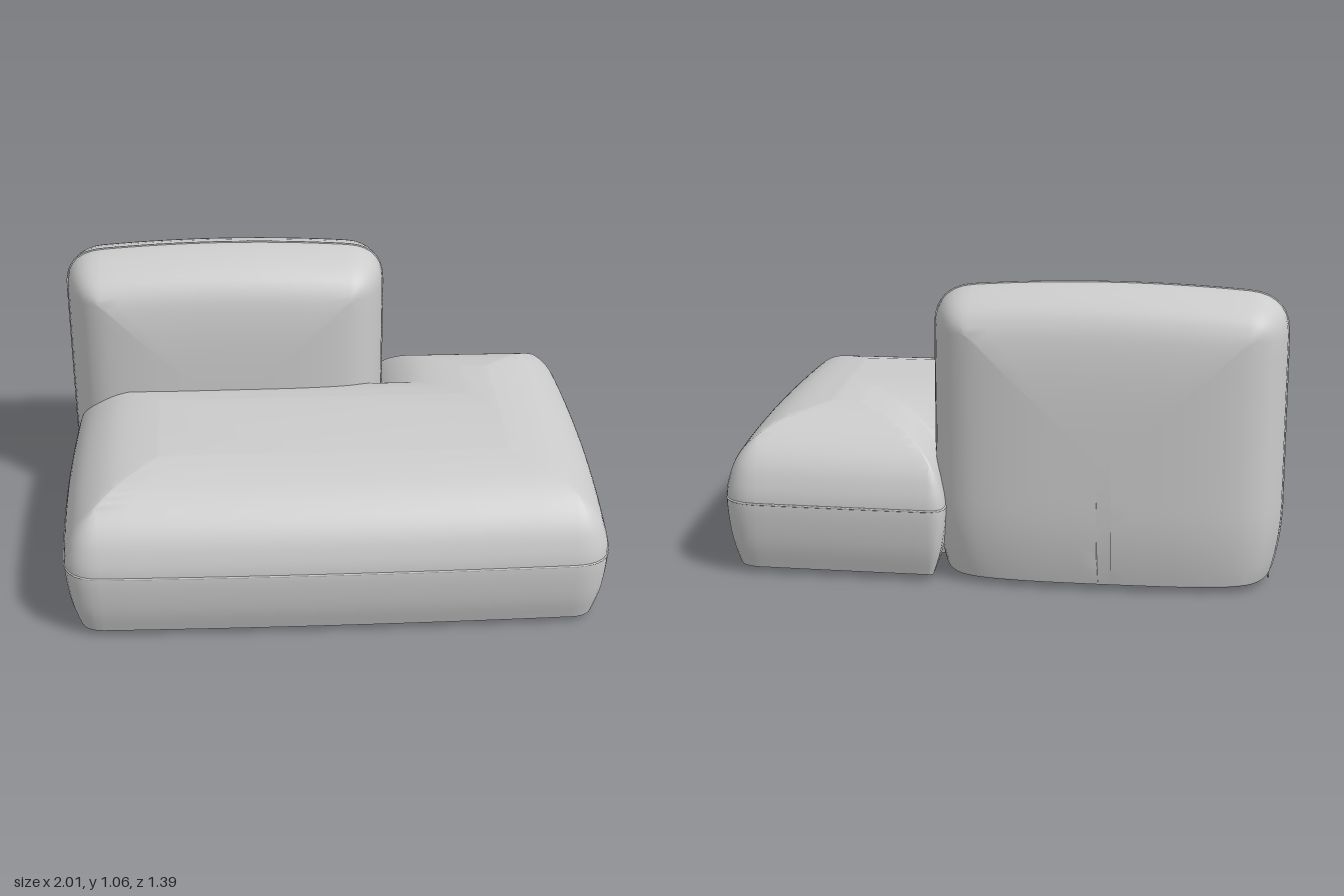
import * as THREE from 'three';
import { toCreasedNormals } from 'three/addons/utils/BufferGeometryUtils.js';

const material = new THREE.MeshStandardMaterial({ color: 0xcccccc });

// Outline with rounded corners, moved inward by d. Corner: [u, v, inwardU, inwardV, radius]
function outline(corners, d) {
  const n = corners.length;
  const p = corners.map(([u, v, su, sv]) => new THREE.Vector2(u + su * d, v + sv * d));
  const arcs = corners.map((c, i) => {
    const r = Math.max(0.008, c[4] - d);
    const toward = (q) => q.clone().sub(p[i]).setLength(r).add(p[i]);
    return new THREE.QuadraticBezierCurve(toward(p[(i + n - 1) % n]), p[i], toward(p[(i + 1) % n])).getPoints(7);
  });
  const out = [];
  arcs.forEach((arc, i) => {
    out.push(...arc);
    const a = arc[arc.length - 1], b = arcs[(i + 1) % n][0];
    for (let k = 1; k < 14; k++) out.push(a.clone().lerp(b, k / 14));
  });
  return out;
}

// Upholstered body: outlines stacked along w, inset by the profile, then softened by a rule
function cushion(corners, profile, soften) {
  const steps = new THREE.SplineCurve(profile.map(([d, w]) => new THREE.Vector2(d, w))).getPoints(36);
  const rings = steps.map((s) => outline(corners, Math.max(0, s.x)));
  const n = rings[0].length, positions = [], index = [];
  rings.forEach((ring, j) => ring.forEach((q) => {
    positions.push(...soften(new THREE.Vector3(q.x, q.y, steps[j].y)).toArray());
  }));
  for (let j = 0; j < rings.length - 1; j++) {
    for (let i = 0; i < n; i++) {
      const a = j * n + i, b = j * n + (i + 1) % n;
      index.push(a, b, b + n, a, b + n, a + n);
    }
  }
  const last = (rings.length - 1) * n;
  for (const [a, b, c] of THREE.ShapeUtils.triangulateShape(rings[0], [])) index.push(a, c, b);
  for (const [a, b, c] of THREE.ShapeUtils.triangulateShape(rings[rings.length - 1], [])) {
    index.push(last + a, last + b, last + c);
  }
  const geometry = new THREE.BufferGeometry();
  geometry.setAttribute('position', new THREE.Float32BufferAttribute(positions, 3));
  geometry.setIndex(index);
  return toCreasedNormals(geometry, 0.7);
}

// Thin piping along the widest line
function piping(corners, w, soften) {
  const points = outline(corners, 0).map((q) => soften(new THREE.Vector3(q.x, q.y, w)));
  return new THREE.TubeGeometry(new THREE.CatmullRomCurve3(points, true), 220, 0.004, 6, true);
}

function part(name, corners, profile, seamW, soften) {
  const group = new THREE.Group();
  group.name = name;
  const body = new THREE.Mesh(cushion(corners, profile, soften), material);
  body.name = name + 'Cushion';
  const seam = new THREE.Mesh(piping(corners, seamW, soften), material);
  seam.name = name + 'Piping';
  group.add(body, seam);
  return group;
}

export function createModel() {
  const model = new THREE.Group();
  model.name = 'sofaModule';

  // Seat: L-shaped plan, with a recess at the back for the backrest
  const seat = part('seat',
    [
      [-1, -0.69, 1, 1, 0.13], [1, -0.69, -1, 1, 0.13], [1, 0.685, -1, -1, 0.13],
      [0.18, 0.685, 1, -1, 0.06], [0.18, 0.45, 1, -1, 0.05], [-1, 0.45, 1, -1, 0.13],
    ],
    [[0.045, 0.025], [0.014, 0.13], [0, 0.27], [0.018, 0.36], [0.05, 0.425], [0.1, 0.478],
      [0.17, 0.523], [0.25, 0.549], [0.36, 0.568]],
    0.275,
    (p) => p.set(p.x * (1 - 0.03 * (p.y / 0.69) ** 2), p.y * (1 - 0.02 * p.x ** 2), p.z));
  seat.rotation.x = -Math.PI / 2;

  // Backrest: upright slab standing on the floor, narrowing slightly to its flat base
  const backrest = part('backrest',
    [
      [-0.615, 0.025, 1, 0, 0.02], [0.615, 0.025, -1, 0, 0.02],
      [0.615, 1.06, -1, -1, 0.14], [-0.615, 1.06, 1, -1, 0.14],
    ],
    [[0.59, -0.235], [0.4, -0.233], [0.27, -0.226], [0.17, -0.212], [0.11, -0.193], [0.06, -0.16],
      [0.02, -0.09], [0, 0], [0.02, 0.1], [0.06, 0.175], [0.11, 0.215], [0.17, 0.236],
      [0.27, 0.25], [0.4, 0.256], [0.59, 0.257]],
    0,
    (p) => {
      const foot = Math.max(0, (0.3 - p.y) / 0.275) ** 2;
      const y = 0.025 + (p.y - 0.025) * (1 - 0.03 * (p.x / 0.615) ** 2);
      return p.set(p.x * (1 - 0.06 * foot), y, p.z * (1 - 0.14 * foot));
    });
  backrest.position.set(-0.385, 0, -0.46);

  // Small pull loop at the lower end of the backrest seam
  const pull = new THREE.Mesh(new THREE.TorusGeometry(0.01, 0.003, 6, 16), material);
  pull.name = 'pullLoop';
  pull.rotation.y = Math.PI / 2;
  pull.position.set(-0.96, 0.013, -0.46);

  model.add(seat, backrest, pull);
  return model;
}
